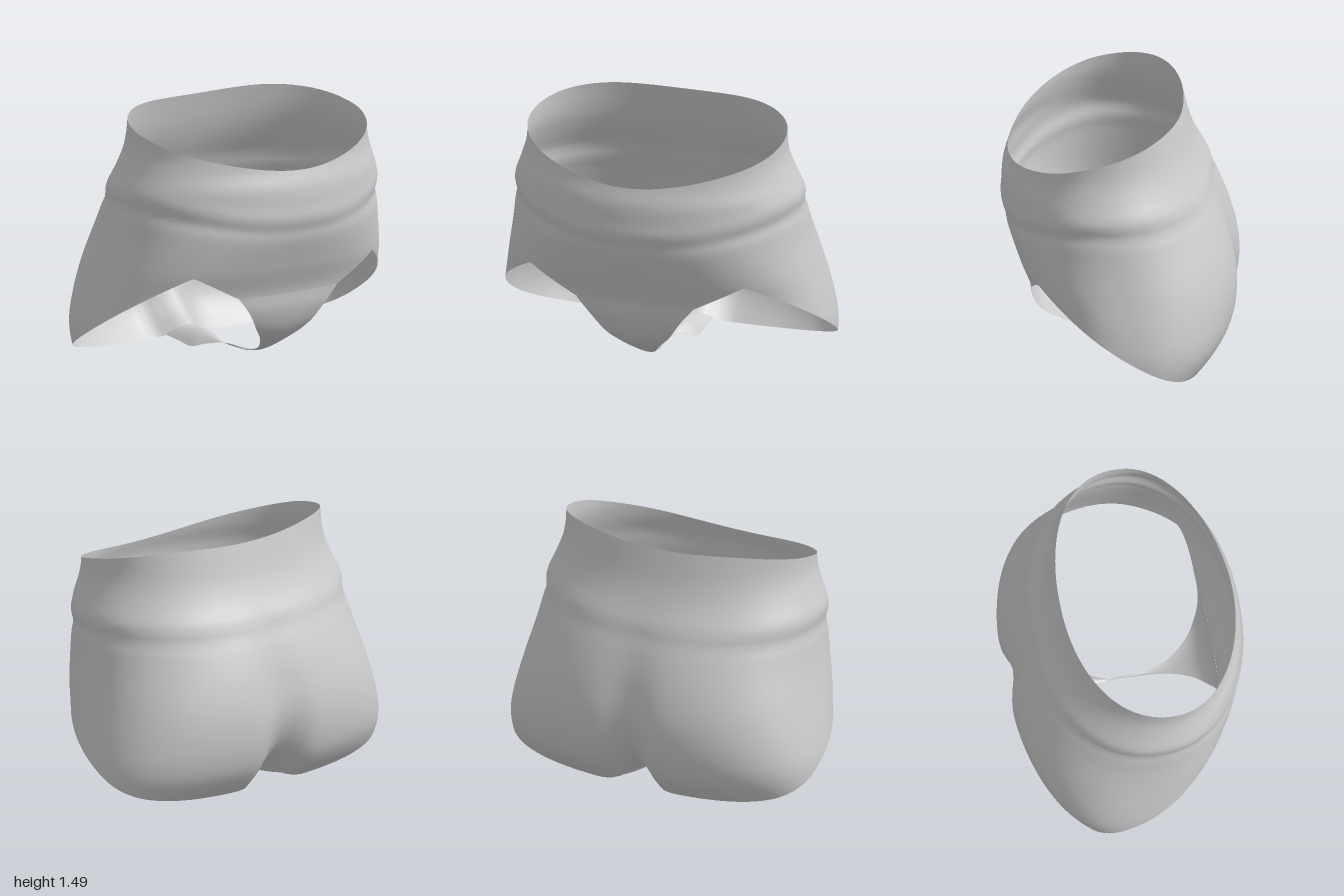
import * as THREE from 'three';

// Smooth curve through [position, value] pairs
function profile(pairs) {
  const curve = new THREE.CubicInterpolant(pairs.map(p => p[0]), pairs.map(p => p[1]), 1);
  return y => curve.evaluate(y)[0];
}

// Cross-section measures by height
const halfWidth = profile([[0, 0.99], [0.24, 1], [0.4, 0.975], [0.6, 0.93], [0.8, 0.89], [1, 0.865], [1.1, 0.855], [1.2, 0.82], [1.3, 0.79], [1.5, 0.785]]);
const frontZ = profile([[0, 0.42], [0.2, 0.48], [0.33, 0.515], [0.45, 0.53], [0.62, 0.6], [0.85, 0.68], [0.98, 0.69], [1.1, 0.683], [1.22, 0.65], [1.5, 0.65]]);
const backZ = profile([[0, -0.51], [0.05, -0.56], [0.1, -0.605], [0.2, -0.665], [0.45, -0.705], [0.7, -0.665], [1, -0.555], [1.24, -0.44], [1.49, -0.37]]);
const centreZ = profile([[0, -0.12], [0.25, -0.11], [0.6, -0.02], [1, 0.07], [1.4, 0.13]]);
const cleftDepth = profile([[0, 0.23], [0.1, 0.2], [0.2, 0.14], [0.4, 0.07], [0.7, 0.035], [1, 0.012], [1.2, 0]]);

const bump = (d, s) => Math.exp(-(d / s) * (d / s));
const power = (v, e) => Math.sign(v) * Math.pow(Math.abs(v), e);

// Point of the shell at angle a (0 = front) and height y
function shellPoint(a, y) {
  // Boxier at the hips, rounder towards the waist
  const round = THREE.MathUtils.smoothstep(y, 0.55, 1);
  const e = 0.83 + round * (0.12 + 0.05 * Math.cos(a));
  const s = power(Math.sin(a), e), c = power(Math.cos(a), e);
  // Soft folds below the waist, higher at the sides than at the front
  const foldY = 0.98 - 0.14 * Math.max(0, c) ** 2;
  const depthScale = c < 0 ? 1 - 0.5 * c * c : 1 - 0.3 * c * c;
  const fold = depthScale * (0.01 * bump(y - foldY - 0.08, 0.05) - 0.009 * bump(y - foldY, 0.035));
  const zc = centreZ(y);
  const depth = (c > 0 ? frontZ(y) - zc : zc - backZ(y)) + fold;
  const x = s * (halfWidth(y) + fold);
  let z = zc + c * depth;
  if (c < 0) z += cleftDepth(y) * bump(x, 0.11 + 0.06 * Math.min(1, y));
  return new THREE.Vector3(x, y, z);
}

// Height of the lower edge: seam, leg opening, then the back
function lowerEdge(a) {
  let lo = 0.015, hi = 0.64;
  for (let i = 0; i < 30; i++) {
    const y = (lo + hi) / 2, p = shellPoint(a, y);
    const seam = 0.44 + 0.16 * THREE.MathUtils.clamp((Math.abs(p.x) - 0.36) / 0.31, 0, 1);
    const t = (0.46 - p.z) / 0.98;
    const leg = 0.6 - 0.58 * t - 0.12 * t * (1 - t);
    if (y < Math.min(seam, leg)) lo = y; else hi = y;
  }
  const back = Math.cos(a) < 0 ? 0.1 * bump(shellPoint(a, lo).x, 0.12) : 0;
  return Math.max(lo, back);
}

function upperEdge(a) {
  const c = Math.cos(a);
  return 1.405 - 0.142 * c - 0.035 * c * c - 0.03 * c ** 8;
}

// Grid surface from point(u, v); optionally closed along u
function surface(name, cols, rows, closed, point) {
  const pos = [], index = [];
  const n = closed ? cols : cols + 1;
  for (let j = 0; j <= rows; j++) {
    for (let i = 0; i < n; i++) pos.push(...point(i / cols, j / rows).toArray());
  }
  for (let j = 0; j < rows; j++) {
    for (let i = 0; i < cols; i++) {
      const k = (i + 1) % n;
      const a = j * n + i, b = j * n + k, c = a + n, d = b + n;
      index.push(a, b, d, a, d, c);
    }
  }
  const geo = new THREE.BufferGeometry();
  geo.setAttribute('position', new THREE.Float32BufferAttribute(pos, 3));
  geo.setIndex(index);
  geo.computeVertexNormals();
  const mesh = new THREE.Mesh(geo, new THREE.MeshStandardMaterial({ color: 0xcccccc, side: THREE.DoubleSide }));
  mesh.name = name;
  return mesh;
}

export function createModel() {
  const group = new THREE.Group();
  group.name = 'shorts';

  // Waist, hips and seat
  const cols = 144;
  const edges = Array.from({ length: cols }, (_, i) => {
    const a = i / cols * Math.PI * 2;
    return [lowerEdge(a), upperEdge(a)];
  });
  group.add(surface('body', cols, 40, true, (u, v) => {
    const [low, high] = edges[Math.round(u * cols)];
    return shellPoint(u * Math.PI * 2, low + (high - low) * Math.pow(v, 1.25));
  }));

  // Crotch strip: z, y, half width, edge drop, edge setback
  const stations = [
    [0.527, 0.442, 0.365, 0, 0.02], [0.515, 0.34, 0.28, -0.004, 0.015],
    [0.472, 0.228, 0.2, -0.008, 0.012], [0.405, 0.145, 0.12, -0.012, 0.01],
    [0.3, 0.077, 0.055, -0.01, 0.004], [0.2, 0.045, 0.025, -0.007, 0],
    [0.1, 0.033, 0.012, -0.006, 0], [-0.05, 0.037, 0.006, -0.006, 0],
    [-0.13, 0.05, 0.018, 0.012, 0], [-0.2, 0.075, 0.06, 0.05, 0],
    [-0.27, 0.09, 0.105, 0.085, 0], [-0.34, 0.097, 0.11, 0.075, 0.04],
    [-0.405, 0.103, 0.125, 0.06, 0.09],
  ];
  const last = stations.length - 1;
  const track = [0, 1, 2, 3, 4].map(k => profile(stations.map((s, i) => [i / last, s[k]])));
  group.add(surface('crotchStrip', 12, last * 4, false, (u, v) => {
    const [z, y, w, drop, setback] = track.map(f => f(v));
    const s = u * 2 - 1;
    return new THREE.Vector3(s * Math.max(w, 0.005), y - drop * s * s, z - setback * s * s);
  }));

  return group;
}
